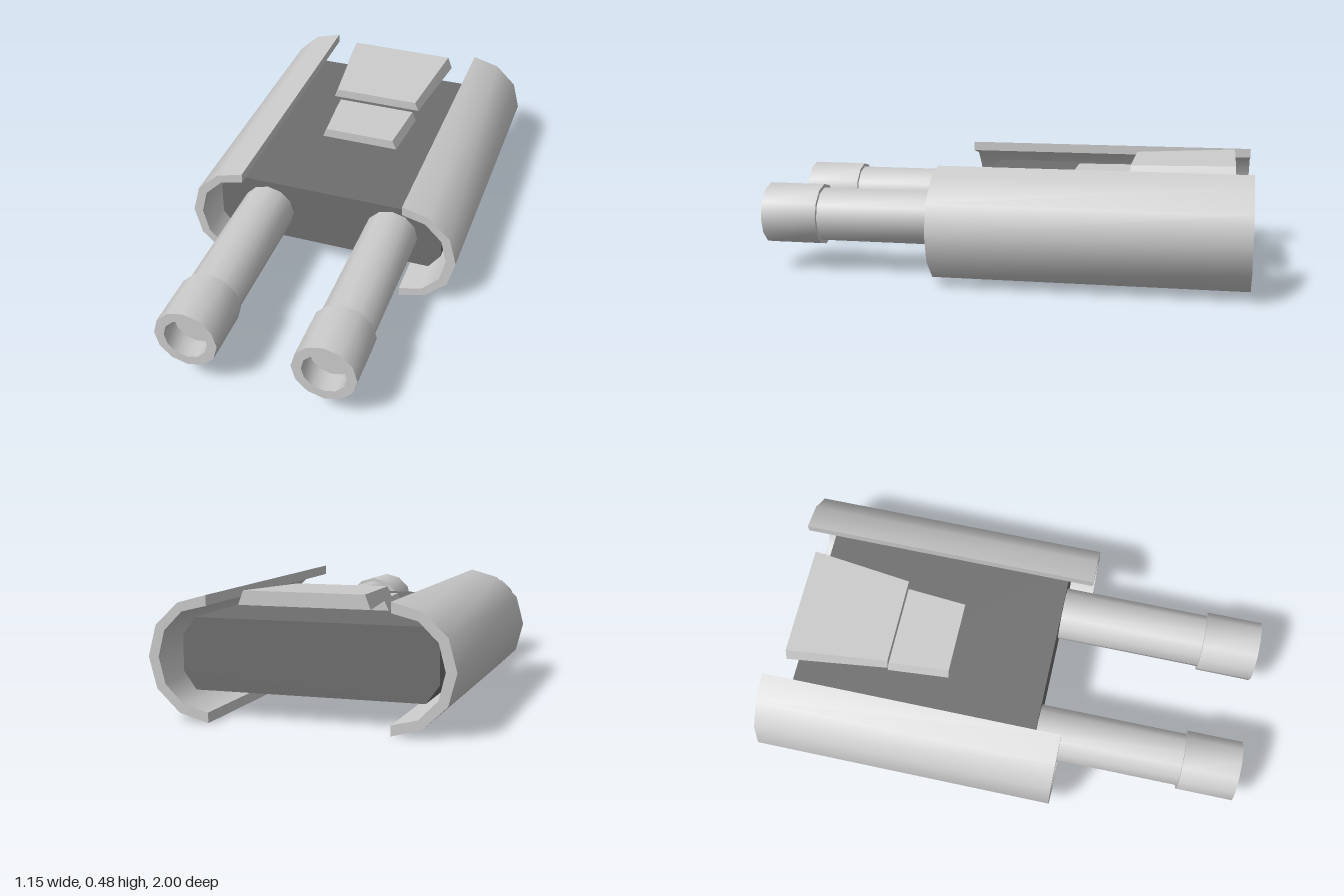
import * as THREE from 'three';
import { toCreasedNormals } from 'three/addons/utils/BufferGeometryUtils.js';

const MID = 0.235; // height of the barrel and guard axes

export function createModel() {
  const model = new THREE.Group();
  model.name = 'twinBarrelTurret';
  const grey = new THREE.MeshStandardMaterial({ color: 0xcccccc });
  const dark = new THREE.MeshStandardMaterial({ color: 0x6e6e6e });

  function add(name, geometry, material = grey) {
    const mesh = new THREE.Mesh(geometry, material);
    mesh.name = name;
    model.add(mesh);
    return mesh;
  }

  // Extrude an x/y outline from z0 to z1
  function extrude(points, z0, z1) {
    const shape = new THREE.Shape(points.map(([x, y]) => new THREE.Vector2(x, y)));
    const g = new THREE.ExtrudeGeometry(shape, { depth: z1 - z0, bevelEnabled: false });
    return toCreasedNormals(g.translate(0, 0, z0), 0.6);
  }

  // Box tapered in plan and section; each end is { z, top, bottom (half widths), y (top height) }
  function taperedPlate(base, front, back) {
    const g = new THREE.BoxGeometry(2, 2, 2);
    const p = g.attributes.position;
    for (let i = 0; i < p.count; i++) {
      const end = p.getZ(i) > 0 ? front : back;
      const upper = p.getY(i) > 0;
      p.setXYZ(i, p.getX(i) * (upper ? end.top : end.bottom), upper ? end.y : base, end.z);
    }
    g.computeVertexNormals();
    return g;
  }

  // Body: chamfered slab
  add('body', extrude([
    [-0.44, 0.1], [0.44, 0.1], [0.49, 0.168], [0.49, 0.305],
    [0.44, 0.372], [-0.44, 0.372], [-0.49, 0.305], [-0.49, 0.168],
  ], -0.895, 0.147), dark);

  // Roof plates: a low front one and a floating rear one
  add('frontRoofPlate', taperedPlate(0.368,
    { z: -0.26, top: 0.152, bottom: 0.172, y: 0.412 },
    { z: -0.515, top: 0.172, bottom: 0.192, y: 0.412 }));
  add('rearRoofPlate', taperedPlate(0.428,
    { z: -0.51, top: 0.184, bottom: 0.2, y: 0.466 },
    { z: -0.93, top: 0.23, bottom: 0.25, y: 0.481 }));

  // Upper half of the guard section as [x, height above the axis]
  const outer = [[0.344, 0.233], [0.457, 0.202], [0.546, 0.117], [0.577, 0]];
  const inner = [[0.537, 0], [0.512, 0.099], [0.441, 0.17], [0.344, 0.194]];
  const lower = (pts) => pts.filter((p) => p[1] > 0).reverse().map(([x, y]) => [x, -y]);
  const section = [...outer, ...lower(outer), ...lower(inner), ...inner];

  // Barrel profile: tube, muzzle sleeve, blind bore
  const profile = [
    [0, 0.1], [0.113, 0.1], [0.113, 0.765], [0.128, 0.765],
    [0.128, 1], [0.088, 1], [0.088, 0.91], [0, 0.91],
  ].map(([r, z]) => new THREE.Vector2(r, z));
  const barrel = toCreasedNormals(new THREE.LatheGeometry(profile, 12).rotateX(Math.PI / 2), 0.6);

  for (const [side, s] of [['left', 1], ['right', -1]]) {
    add(side + 'Guard', extrude(section.map(([x, y]) => [s * x, MID + y]), -1, 0.255));
    add(side + 'Barrel', barrel).position.set(s * 0.274, MID, 0);
  }
  return model;
}
